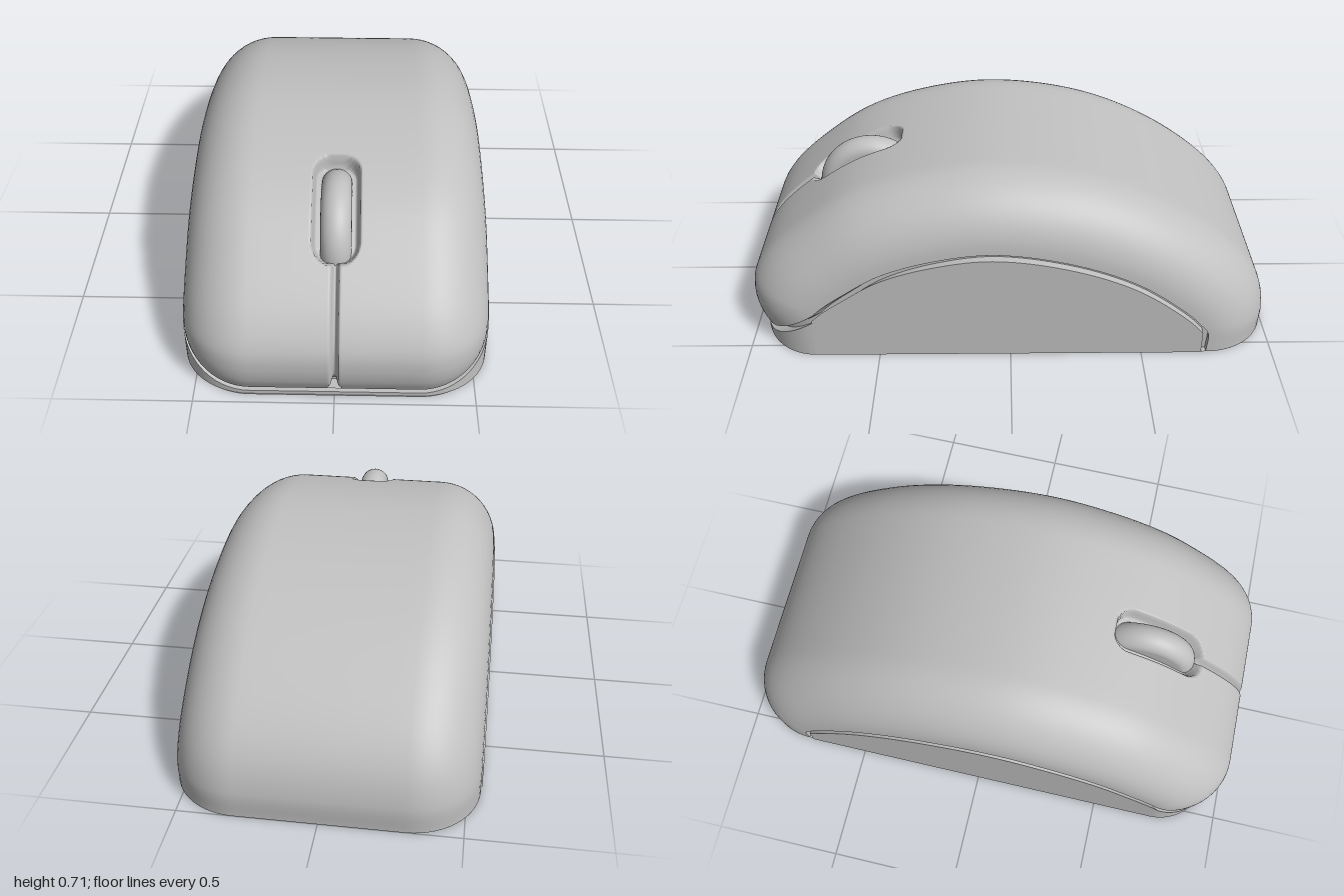
import * as THREE from 'three';

const V = (x, y, z) => new THREE.Vector3(x, y, z);
const curve = pts => new THREE.CatmullRomCurve3(pts.map(([z, y]) => V(0, y, z)));

// Side profiles, back to front: along the middle, and along the flat flank.
const crown = curve([[-1, 0], [-1, 0.1], [-0.96, 0.22], [-0.85, 0.355], [-0.6, 0.535], [-0.3, 0.66],
  [0.06, 0.71], [0.35, 0.675], [0.6, 0.59], [0.8, 0.455], [0.93, 0.335], [0.99, 0.24], [1, 0.17],
  [0.99, 0.1], [0.965, 0.04]]);
const flank = curve([[-0.75, 0], [-0.75, 0.09], [-0.72, 0.13], [-0.66, 0.19], [-0.47, 0.325], [-0.225, 0.42],
  [0.06, 0.465], [0.29, 0.435], [0.485, 0.37], [0.62, 0.285], [0.69, 0.235], [0.725, 0.205], [0.735, 0.195],
  [0.74, 0.19], [0.745, 0.185]]);
const FLAT = 0.3, ROUND = 0.25;

// Smooth surface through rows of points.
function grid(rows) {
  const n = rows[0].length, index = [];
  for (let i = 0; i < rows.length - 1; i++) {
    for (let j = 0; j < n - 1; j++) {
      const a = i * n + j;
      index.push(a, a + 1, a + n, a + 1, a + n + 1, a + n);
    }
  }
  const g = new THREE.BufferGeometry().setFromPoints(rows.flat());
  g.setIndex(index);
  g.computeVertexNormals();
  return g;
}

// Point on the shell: t along the profile, a = how far round the side edge.
function shellPoint(x, a, t) {
  return flank.getPoint(t).lerp(crown.getPoint(t), Math.cos(a)).setX(x);
}

// Depth of the wheel well and the slit between the buttons.
function recess(x, z, y) {
  if (z < 0.35 || Math.abs(x) > 0.11) return 0;
  const r = 0.06;
  const qx = Math.abs(x) - 0.08 + r, qz = Math.abs(z - 0.605) - 0.175 + r;
  const well = Math.hypot(Math.max(qx, 0), Math.max(qz, 0)) + Math.min(Math.max(qx, qz), 0) - r;
  const flare = 0.4 * Math.max(0, 0.07 - y);
  const slit = z > 0.74 ? Math.abs(x) - 0.01 - flare : 1;
  const step = d => 1 - THREE.MathUtils.smoothstep(d, -0.009, 0.007);
  return Math.max(0.055 * step(y > 0.3 ? well : 1), 0.04 * step(slit));
}

function shellGeometry() {
  const half = [];
  for (let i = 0; i <= 20; i++) half.push([i * 0.005, 0]);
  for (let i = 1; i <= 4; i++) half.push([0.1 + i * 0.05, 0]);
  for (let i = 1; i <= 14; i++) {
    const a = i / 14 * Math.PI / 2;
    half.push([FLAT + ROUND * Math.sin(a), a]);
  }
  const columns = [...half.slice(1).reverse().map(([x, a]) => [-x, a]), ...half];
  const N = 400;
  return grid(columns.map(([x, a]) => {
    const row = [];
    for (let j = 0; j <= N; j++) {
      const t = j / N, p = shellPoint(x, a, t);
      const d = recess(x, p.z, p.y);
      if (d > 0) {
        const k = crown.getTangent(t);
        p.z += k.y * d;
        p.y -= k.z * d;
      }
      row.push(p);
    }
    return row;
  }));
}

// Lower edge of the shell from left back round the front to right back,
// pulled inward by scale s and lowered by drop.
function rim(s, drop, back = -1) {
  const right = [];
  for (let i = 0; i <= 16; i++) {
    const a = i / 16 * Math.PI / 2;
    right.push(shellPoint(FLAT + ROUND * Math.sin(a), a, 1));
  }
  for (let i = 1; i <= 100; i++) right.push(flank.getPoint(1 - i / 100).setX(FLAT + ROUND));
  if (drop < 0) right.push(V(0.55, 0.1, -0.8));
  for (const p of right) {
    p.set(p.x * s, Math.max(p.y - drop, 0), Math.max(p.z > 0 ? p.z * s : p.z, back));
  }
  return [...right.map(p => V(-p.x, p.y, p.z)).reverse(), ...right];
}
const ground = row => row.map(p => V(p.x, 0, p.z));

export function createModel() {
  const model = new THREE.Group();
  const grey = new THREE.MeshStandardMaterial({ color: 0xc0c0c0, side: THREE.DoubleSide });
  grey.name = 'plain grey';
  const add = (name, geometry) => {
    const mesh = new THREE.Mesh(geometry, grey);
    mesh.name = name;
    model.add(mesh);
    return mesh;
  };

  // Upper shell with buttons, and its lip turned into the seam
  add('upperShell', shellGeometry());
  add('shellLip', grid([rim(0.93, 0), rim(1, 0)]));

  // Lower body: walls, their lip, and a core closing the seam
  const outer = rim(1.008, 0.024, -0.73);
  outer.forEach(p => { if (p.z > 0.745) p.z -= 0.012; });
  add('baseWall', grid([ground(outer), outer]));
  add('baseLip', grid([outer, rim(0.93, 0.022, -0.73)]));
  const core = rim(0.955, -0.04);
  add('seamCore', grid([ground(core), core]));

  // Underside
  const plan = new THREE.Shape(), w = 0.55, b = -1, f = 0.965, r = 0.25;
  plan.moveTo(-w + r, b);
  plan.lineTo(w - r, b);
  plan.absarc(w - r, b + r, r, -Math.PI / 2, 0, false);
  plan.absarc(w - r, f - r, r, 0, Math.PI / 2, false);
  plan.absarc(-w + r, f - r, r, Math.PI / 2, Math.PI, false);
  plan.absarc(-w + r, b + r, r, Math.PI, Math.PI * 1.5, false);
  add('underside', new THREE.ShapeGeometry(plan, 16).rotateX(Math.PI / 2));

  // Scroll wheel with rounded shoulders
  const tyre = [new THREE.Vector2(0, -0.055)];
  for (let i = 0; i <= 16; i++) {
    const a = (i / 16 - 0.5) * Math.PI;
    tyre.push(new THREE.Vector2(0.16 + 0.05 * Math.cos(a), 0.055 * Math.sin(a)));
  }
  tyre.push(new THREE.Vector2(0, 0.055));
  const wheel = add('scrollWheel', new THREE.LatheGeometry(tyre, 64).rotateZ(Math.PI / 2));
  wheel.position.set(0, 0.43, 0.55);

  return model;
}
